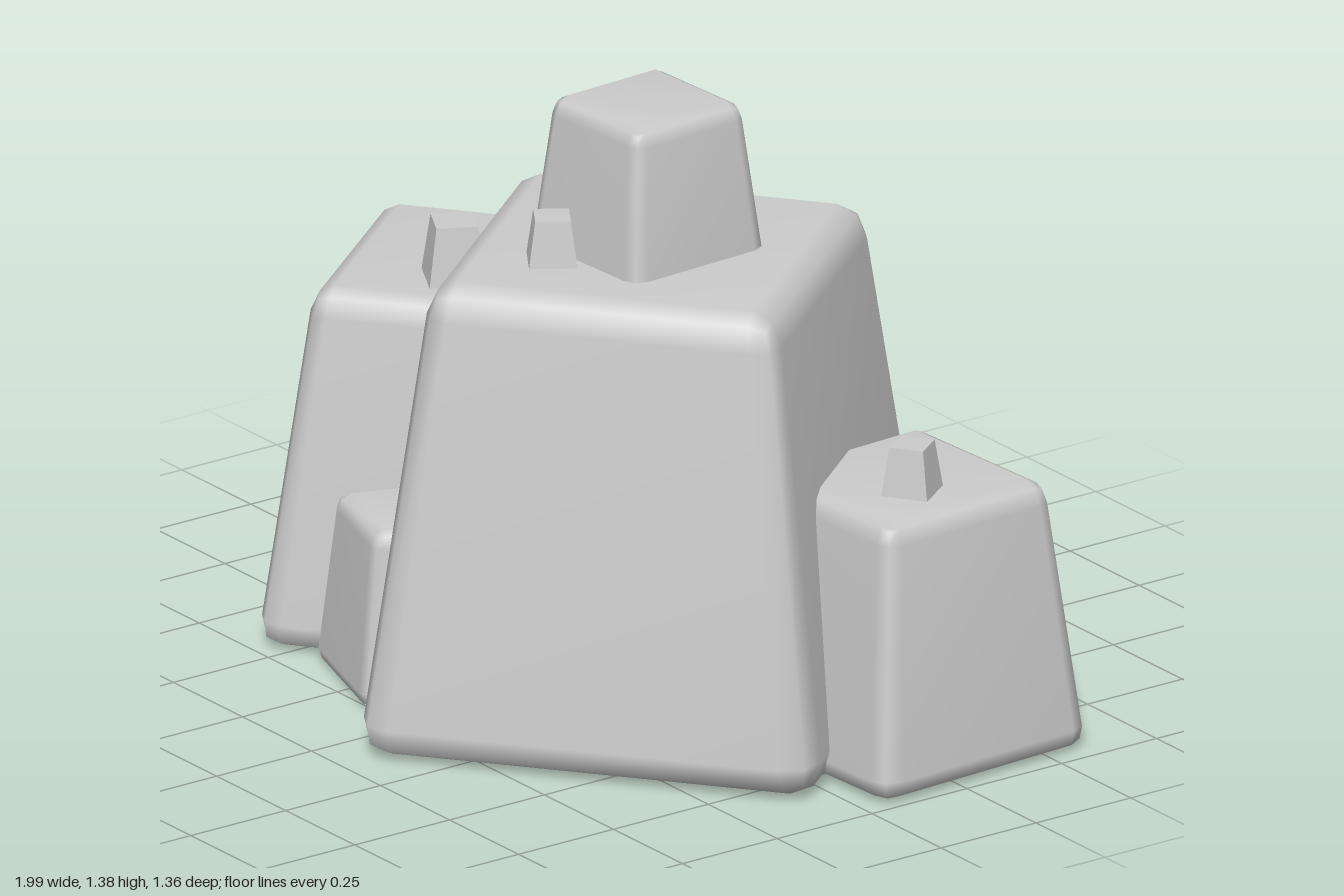
import * as THREE from 'three';
import { RoundedBoxGeometry } from 'three/addons/geometries/RoundedBoxGeometry.js';
import { mergeVertices } from 'three/addons/utils/BufferGeometryUtils.js';

const smooth = new THREE.MeshStandardMaterial({ color: 0xcccccc });
const flat = new THREE.MeshStandardMaterial({ color: 0xcccccc, flatShading: true });

// Square block with softly bevelled edges that narrows evenly towards its top
function taperedBlock(name, { x, z, base = 0, top, half, taper, bevel, turn }) {
  const height = top - base;
  let geo = new RoundedBoxGeometry(half * 2, height, half * 2, 1, bevel);
  const pos = geo.attributes.position;
  for (let i = 0; i < pos.count; i++) {
    const y = pos.getY(i) + height / 2;
    const s = THREE.MathUtils.lerp(1, taper, y / height);
    pos.setXYZ(i, pos.getX(i) * s, y, pos.getZ(i) * s);
  }
  // Weld the faces so the bevels shade smoothly
  geo.deleteAttribute('uv');
  geo.deleteAttribute('normal');
  geo = mergeVertices(geo, 1e-4);
  geo.computeVertexNormals();
  const mesh = new THREE.Mesh(geo, smooth);
  mesh.name = name;
  mesh.position.set(x, base, z);
  mesh.rotation.y = THREE.MathUtils.degToRad(turn);
  return mesh;
}

// Small sharp-edged four-sided stub, sunk slightly into the block below
function stub(name, { x, z, base, top, radius, turn }) {
  const sink = 0.02;
  const height = top - base + sink;
  const mesh = new THREE.Mesh(new THREE.CylinderGeometry(radius * 0.73, radius * 1.04, height, 4), flat);
  mesh.name = name;
  mesh.position.set(x, base - sink + height / 2, z);
  mesh.rotation.y = THREE.MathUtils.degToRad(turn);
  return mesh;
}

export function createModel() {
  const group = new THREE.Group();
  group.name = 'blockCluster';
  group.add(
    // Large blocks standing on the ground
    taperedBlock('mainBlock', { x: 0.185, z: 0, top: 1.05, half: 0.515, taper: 0.745, bevel: 0.075, turn: 38.3 }),
    taperedBlock('rightBlock', { x: -0.483, z: -0.04, top: 0.8, half: 0.392, taper: 0.74, bevel: 0.06, turn: 37.8 }),
    taperedBlock('leftBackBlock', { x: 0.695, z: -0.305, top: 0.61, half: 0.29, taper: 0.77, bevel: 0.05, turn: 3.2 }),
    taperedBlock('smallFrontBlock', { x: -0.225, z: 0.31, top: 0.39, half: 0.177, taper: 0.78, bevel: 0.035, turn: -18 }),
    // Block on top of the main one
    taperedBlock('topBlock', { x: 0.183, z: -0.002, base: 0.95, top: 1.38, half: 0.195, taper: 0.76, bevel: 0.04, turn: 3.2 }),
    // Stubs on the roofs
    stub('mainStub', { x: 0.15, z: 0.225, base: 1.05, top: 1.153, radius: 0.074, turn: 12 }),
    stub('rightStub', { x: -0.412, z: 0.073, base: 0.8, top: 0.93, radius: 0.088, turn: 17 }),
    stub('leftStub', { x: 0.783, z: -0.263, base: 0.61, top: 0.718, radius: 0.074, turn: -10 })
  );
  return group;
}
